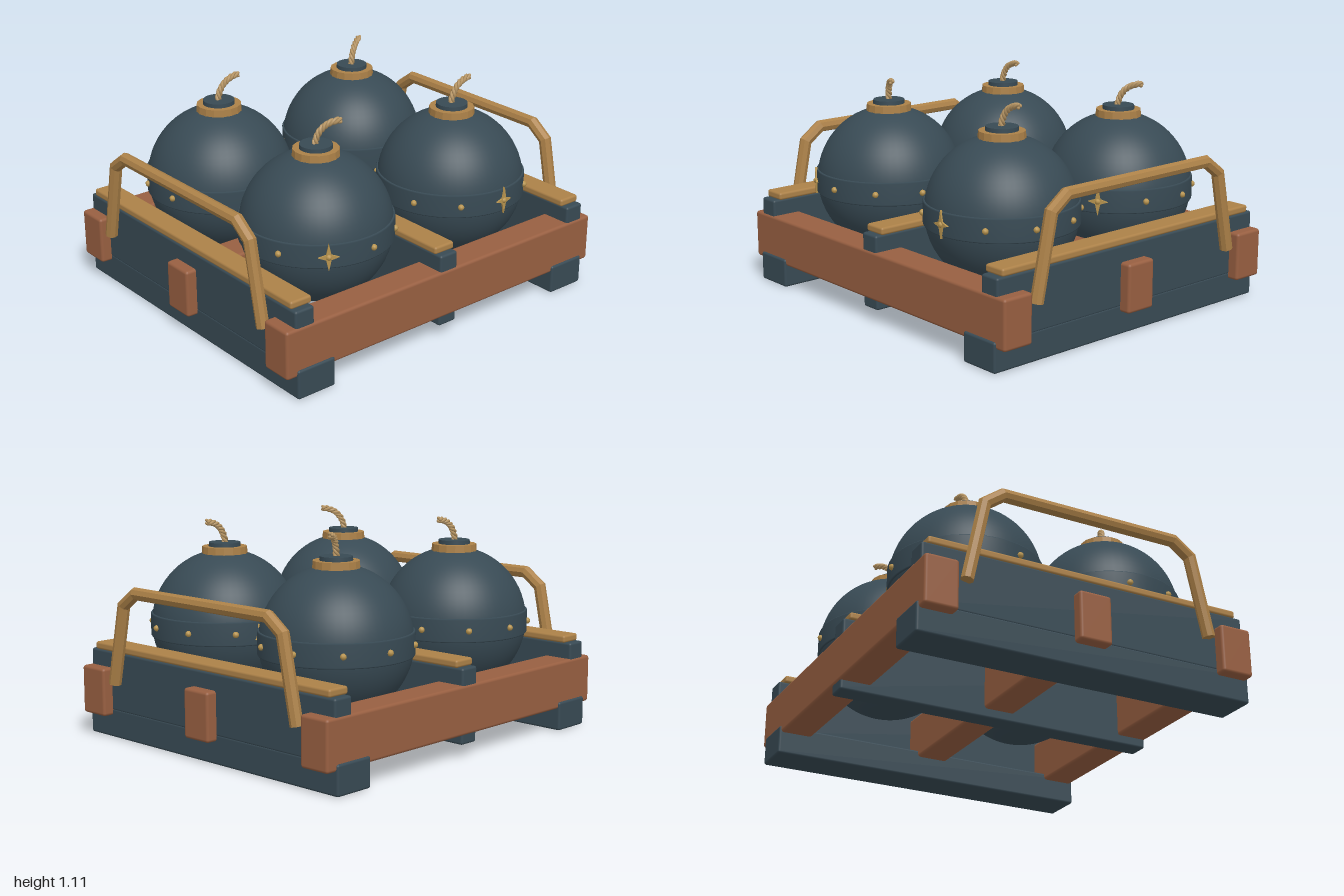
import * as THREE from 'three';
import { RoundedBoxGeometry } from 'three/addons/geometries/RoundedBoxGeometry.js';

const mat = (name, color) => {
  const m = new THREE.MeshStandardMaterial({ color });
  m.name = name;
  return m;
};

const flat = (geometry) => {
  const g = geometry.index ? geometry.toNonIndexed() : geometry;
  g.computeVertexNormals();
  return g;
};

function add(parent, name, geometry, material, x = 0, y = 0, z = 0) {
  const mesh = new THREE.Mesh(geometry, material);
  mesh.name = name;
  mesh.position.set(x, y, z);
  parent.add(mesh);
  return mesh;
}

// Softened box given by its extents on each axis
function block(parent, name, material, [x0, x1], [y0, y1], [z0, z1], r = 0.012) {
  const g = new RoundedBoxGeometry(x1 - x0, y1 - y0, z1 - z0, 2, r);
  return add(parent, name, g, material, (x0 + x1) / 2, (y0 + y1) / 2, (z0 + z1) / 2);
}

// Eight-sided bar with mitred bends along a path of [z, y] points
function mitredBar(path, r) {
  const n = path.length - 1;
  const pts = path.map(([z, y]) => new THREE.Vector2(z, y));
  const dir = (i) => pts[i + 1].clone().sub(pts[i]).normalize();
  const g = new THREE.CylinderGeometry(r, r, 1, 8, n);
  const p = g.attributes.position;
  for (let k = 0; k < p.count; k++) {
    const i = Math.round((p.getY(k) + 0.5) * n);
    const a = dir(Math.max(i - 1, 0));
    const b = dir(Math.min(i, n - 1));
    const t = a.clone().add(b).normalize();
    const s = p.getZ(k) / t.dot(a);
    p.setXYZ(k, p.getX(k), pts[i].y - t.x * s, pts[i].x + t.y * s);
  }
  return flat(g);
}

// One strand twisted around the curved fuse
class Strand extends THREE.Curve {
  constructor(core, phase) {
    super();
    this.core = core;
    this.phase = phase;
  }
  getPoint(t, target = new THREE.Vector3()) {
    const tangent = this.core.getTangent(t);
    const side = new THREE.Vector3(0, 0, 1);
    const up = side.clone().cross(tangent);
    const a = this.phase + t * Math.PI * 5;
    return target.copy(this.core.getPoint(t))
      .addScaledVector(side, Math.cos(a) * 0.009)
      .addScaledVector(up, Math.sin(a) * 0.009);
  }
}

function starGeometry() {
  const s = new THREE.Shape();
  for (let i = 0; i < 8; i++) {
    const a = (i * Math.PI) / 4;
    const r = i % 2 ? 0.018 : i % 4 ? 0.07 : 0.05;
    s[i ? 'lineTo' : 'moveTo'](Math.cos(a) * r, Math.sin(a) * r);
  }
  s.closePath();
  return new THREE.ExtrudeGeometry(s, { depth: 0.012, bevelEnabled: false });
}

export function createModel() {
  const iron = mat('dark iron', 0x384a54);
  const brass = mat('brass', 0xac8148);
  const wood = mat('red wood', 0x985f41);
  const gilt = mat('gilt', 0xb8944f);
  const rope = mat('rope', 0xb89664);
  const model = new THREE.Group();
  model.name = 'crateOfRoundShells';

  // Cross beams of the tray
  for (const z of [-0.785, 0, 0.785]) {
    block(model, 'crossBeam', wood, [-1, 1], [0.115, 0.362], [z - 0.085, z + 0.085], 0.015);
  }

  // Runners, side walls, caps and handles
  const span = (s, a, b) => (s > 0 ? [a, b] : [-b, -a]);
  const handlePath = [[0.648, 0.29], [0.562, 0.7], [0.468, 0.769],
    [-0.468, 0.769], [-0.562, 0.7], [-0.648, 0.29]].reverse();
  for (const s of [-1, 1]) {
    block(model, 'runner', iron, span(s, 0.725, 0.943), [0, 0.15], [-0.88, 0.88]);
    block(model, 'sideWall', iron, span(s, 0.833, 0.943), [0.14, 0.445], [-0.863, 0.863]);
    block(model, 'sideCap', brass, span(s, 0.822, 0.943), [0.443, 0.482], [-0.83, 0.83]);
    add(model, 'handle', mitredBar(handlePath, 0.032), brass, s * 0.966);
  }

  // Central divider
  block(model, 'divider', iron, [-0.055, 0.055], [0.067, 0.445], [-0.863, 0.863]);
  block(model, 'dividerCap', brass, [-0.062, 0.062], [0.443, 0.482], [-0.83, 0.83]);

  // Shared shell geometries
  const body = new THREE.SphereGeometry(0.376, 56, 36);
  const profile = [[0.36, -0.06], [0.377, -0.06], [0.381, -0.054], [0.381, 0.054], [0.377, 0.06], [0.36, 0.06]];
  const band = new THREE.LatheGeometry(profile.map(([x, y]) => new THREE.Vector2(x, y)), 56);
  const collar = flat(new THREE.CylinderGeometry(0.114, 0.117, 0.045, 16));
  const cap = new THREE.CylinderGeometry(0.08, 0.082, 0.04, 32);
  const rivet = new THREE.SphereGeometry(0.016, 8, 6);
  const star = starGeometry();
  const fuseCore = new THREE.CubicBezierCurve3(
    new THREE.Vector3(-0.005, 0.4, 0), new THREE.Vector3(0.0, 0.475, 0),
    new THREE.Vector3(0.045, 0.52, 0), new THREE.Vector3(0.118, 0.525, 0));
  const strands = [0, 1, 2].map((i) =>
    new THREE.TubeGeometry(new Strand(fuseCore, (i * Math.PI * 2) / 3), 40, 0.0085, 6));

  // Four round shells, each turned a little differently
  for (const [x, z, turn] of [[-0.443, 0.393, -0.53], [0.441, 0.393, 0.02],
    [-0.443, -0.393, -0.05], [0.441, -0.393, 0.53]]) {
    const shell = new THREE.Group();
    shell.name = 'roundShell';
    shell.position.set(x, 0.572, z);
    shell.rotation.y = turn;
    model.add(shell);
    add(shell, 'shellBody', body, iron);
    add(shell, 'shellBand', band, iron);
    add(shell, 'collar', collar, brass, 0, 0.371, 0);
    add(shell, 'fuseCap', cap, iron, 0, 0.394, 0);
    strands.forEach((g) => {
      add(shell, 'fuseStrand', g, rope);
      // Frayed end of the strand
      const end = g.parameters.path.getPoint(1);
      add(shell, 'fuseTip', new THREE.SphereGeometry(0.0085, 6, 4), rope, end.x, end.y, end.z);
    });

    // Rivets around the band, with a star over the front one
    for (let i = 0; i < 10; i++) {
      const a = (i * Math.PI) / 5;
      add(shell, 'rivet', rivet, gilt, Math.sin(a) * 0.383, 0, Math.cos(a) * 0.383);
    }
    add(shell, 'star', star, gilt, 0, 0, 0.377);
  }
  return model;
}
